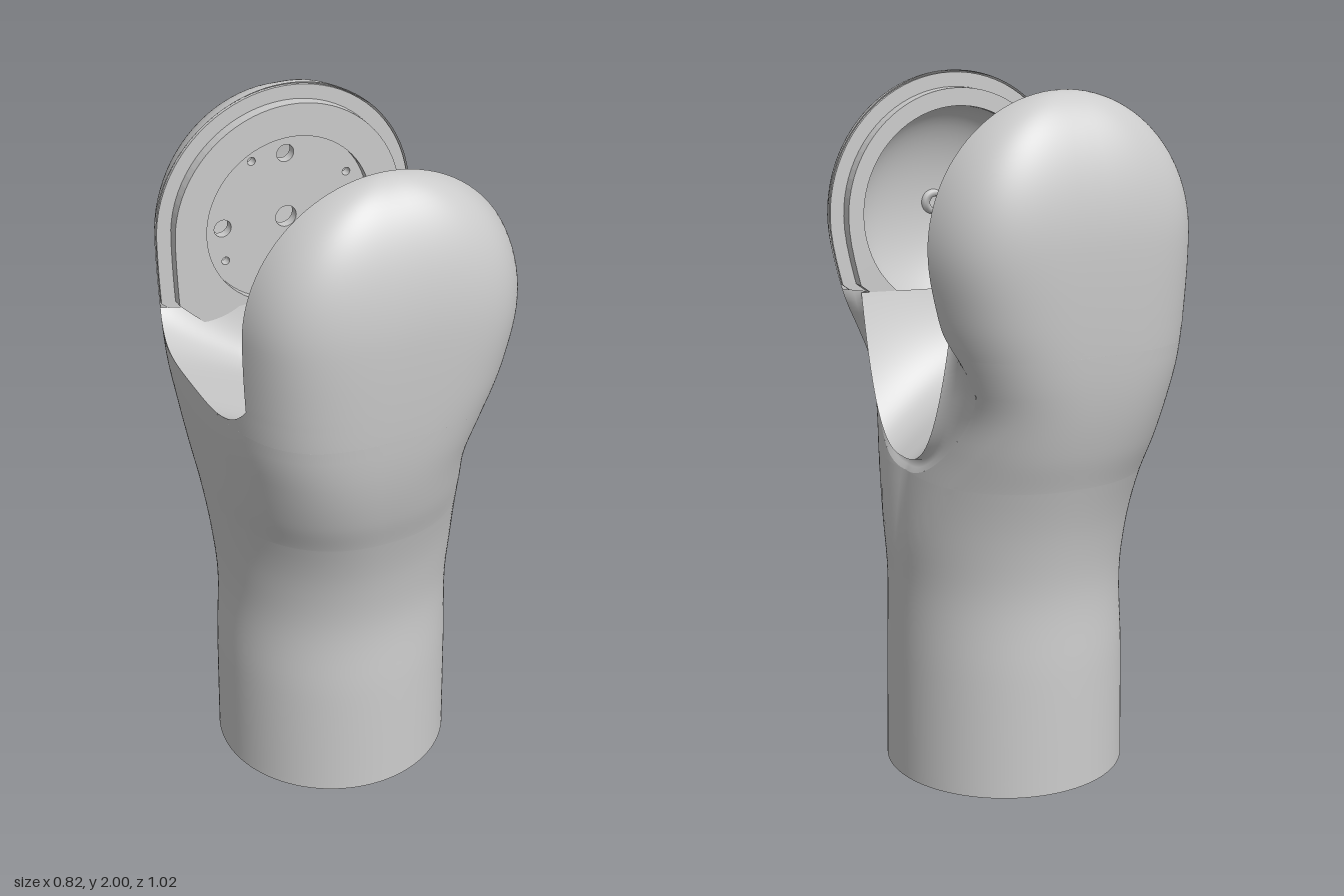
import * as THREE from 'three';
import { mergeGeometries, mergeVertices } from 'three/addons/utils/BufferGeometryUtils.js';

const mat = new THREE.MeshStandardMaterial({ color: 0xcccccc, side: THREE.DoubleSide });

// Cross-sections of the shell: y, -x limit, +x limit, half depth, roundness exponent
const SECTIONS = [
  [0, -0.34, 0.36, 0.352, 2], [0.35, -0.337, 0.356, 0.347, 2], [0.58, -0.33, 0.353, 0.34, 2],
  [0.75, -0.343, 0.36, 0.362, 2.05], [0.9, -0.361, 0.354, 0.4, 2.2], [1.02, -0.378, 0.34, 0.44, 2.45],
  [1.14, -0.393, 0.336, 0.47, 2.7], [1.26, -0.406, 0.362, 0.489, 3], [1.42, -0.41, 0.407, 0.502, 3.3],
  [1.6, -0.41, 0.432, 0.508, 3.5], [2, -0.41, 0.432, 0.508, 3.5],
];
const RIM = 0.315, FACE = 0.28, CY = 1.6, CX = 0.012;
const { smoothstep } = THREE.MathUtils;

// Smooth lookup of column k at height y
function look(y, k) {
  const S = SECTIONS, last = S.length - 1;
  let i = 0;
  while (i < last - 1 && y > S[i + 1][0]) i++;
  const slope = j => {
    const a = S[Math.max(j - 1, 0)], b = S[Math.min(j + 1, last)];
    return j >= last - 1 ? 0 : (b[k] - a[k]) / (b[0] - a[0]);
  };
  const h = S[i + 1][0] - S[i][0], t = (y - S[i][0]) / h, t2 = t * t, t3 = t2 * t;
  return S[i][k] * (2 * t3 - 3 * t2 + 1) + slope(i) * h * (t3 - 2 * t2 + t)
    + S[i + 1][k] * (3 * t2 - 2 * t3) + slope(i + 1) * h * (t3 - t2);
}

// Depth at which the shell is cut open on its +x and -x sides
function cutZ(y, side) {
  if (side < 0) return y <= 1.31 ? 0 : RIM * Math.min(1, (y - 1.31) / 0.08) ** 0.2;
  if (y <= 0.92) return 0;
  if (y < 1.2) return 0.345 * ((y - 0.92) / 0.28) ** (1 / 2.2);
  return 0.345 - (0.345 - RIM) * smoothstep(y, 1.26, 1.4);
}

// Point on the front half of the shell; t runs from the +x cut to the -x cut
function shellPoint(t, y) {
  const xl = look(y, 1), xr = look(y, 2), b = look(y, 3), n = look(y, 4);
  const ang = s => Math.asin(Math.min(1, (cutZ(y, s) / b) ** (n / 2)));
  const a0 = ang(1), a = a0 + (Math.PI - ang(-1) - a0) * t;
  const c = Math.cos(a), s = Math.max(0, Math.sin(a));
  let x = Math.sign(c) * Math.abs(c) ** (2 / n) * (xr - xl) / 2;
  let z = b * s ** (2 / n);
  if (y > CY) {
    const k = Math.sqrt(Math.max(0, 1 - ((y - CY) / 0.4) ** 2));
    x *= k;
    z = RIM + (z - RIM) * k;
  }
  // shallow V-shaped facet below the +x opening
  x -= 0.1 * Math.max(0, c) * Math.max(0, y - 0.65 - 1.15 * z) * (1 - smoothstep(y, 1.05, 1.35));
  return new THREE.Vector3((xl + xr) / 2 + x, y, z);
}
const edge = (y, side) => shellPoint(side > 0 ? 0 : 1, y);

// Side limit of the shell in the plane of the pad rims
function rimX(y, side) {
  const xl = look(y, 1), xr = look(y, 2), b = look(y, 3), n = look(y, 4);
  return (xl + xr) / 2 + side * (xr - xl) / 2 * (1 - (RIM / b) ** n) ** (1 / n);
}

// Surface from fn(i, j) on an nu by nv grid
function grid(fn, nu, nv, flip = false) {
  const pos = [], idx = [];
  for (let j = 0; j <= nv; j++) for (let i = 0; i <= nu; i++) pos.push(...fn(i, j).toArray());
  for (let j = 0; j < nv; j++) for (let i = 0; i < nu; i++) {
    const a = j * (nu + 1) + i, b = a + 1, c = a + nu + 1, d = c + 1;
    idx.push(...(flip ? [a, b, c, b, d, c] : [a, c, b, b, c, d]));
  }
  const g = new THREE.BufferGeometry();
  g.setAttribute('position', new THREE.Float32BufferAttribute(pos, 3));
  g.setIndex(idx);
  g.computeVertexNormals();
  return g;
}

function add(parent, name, geo, x = 0, y = 0, z = 0) {
  const m = new THREE.Mesh(geo, mat);
  m.name = name;
  m.position.set(x, y, z);
  parent.add(m);
  return m;
}

function circle(shape, x, y, r) {
  shape.holes.push(new THREE.Path().absarc(x, y, r, 0, Math.PI * 2, true));
}

// Outline of a pad's inner face, inset from the shell's rim and tapering at the foot
function padShape(inset, holeR) {
  const pts = [], r = rimX(CY, 1), l = rimX(CY, -1), c = (r + l) / 2;
  const foot = (i, side) => {
    const y = 1.28 + i * 0.04;
    return [rimX(y, side) - side * (inset + Math.max(0, 1.4 - y)), y];
  };
  for (let i = 0; i < 8; i++) pts.push(foot(i, 1));
  for (let i = 0; i <= 40; i++) {
    const a = Math.PI * i / 40;
    pts.push([c + ((r - l) / 2 - inset) * Math.cos(a), CY + (0.4 - inset) * Math.sin(a)]);
  }
  for (let i = 7; i >= 0; i--) pts.push(foot(i, -1));
  const s = new THREE.Shape(pts.map(p => new THREE.Vector2(...p)));
  circle(s, CX, CY, holeR);
  return s;
}

const extrude = (shape, depth) =>
  new THREE.ExtrudeGeometry(shape, { depth, bevelEnabled: false, curveSegments: 40 });
const lathe = pts => new THREE.LatheGeometry(pts.map(p => new THREE.Vector2(...p)), 64);

export function createModel() {
  const model = new THREE.Group();
  model.name = 'forkedArmLink';

  // Outer shell: rows crowd together where the side openings begin
  const ys = [];
  for (let i = 0; i < 24; i++) ys.push(0.92 * i / 24);
  for (let i = 0; i < 20; i++) ys.push(0.92 + 0.39 * (i / 20) ** 2);
  for (let i = 0; i < 14; i++) ys.push(1.31 + 0.08 * (i / 14) ** 4);
  for (let i = 0; i < 8; i++) ys.push(1.39 + 0.21 * i / 8);
  for (let i = 0; i <= 24; i++) ys.push(CY + 0.4 * Math.sin(Math.PI / 2 * i / 24));
  const halves = [1, -1].map(s => grid((i, j) => {
    const p = shellPoint(i / 72, ys[j]);
    p.z *= s;
    return p;
  }, 72, ys.length - 1, s < 0));
  halves.forEach(g => g.deleteAttribute('normal'));
  const shell = mergeVertices(mergeGeometries(halves), 1e-5);
  shell.computeVertexNormals();
  add(model, 'outerShell', shell);

  // Trough between the pads, bulging as it falls from the -x rim to the +x opening
  const innerEdge = s => new THREE.Vector3(0.335 - 0.01 * s * s, 0.96 + 0.42 * Math.abs(s) ** 2.8, FACE * s);
  const outerEdge = s => {
    const p = edge(0.92 + 0.47 * Math.abs(s) ** 2.6, 1);
    p.z *= Math.sign(s);
    return p;
  };
  const NS = 80, span = j => Math.sin(Math.PI * (j / NS - 0.5));
  add(model, 'troughFloor', grid((i, j) => {
    const s = span(j), y = 1.31 + 0.08 * Math.abs(s) ** 5;
    const left = new THREE.Vector3(edge(y, -1).x, y, RIM * s);
    const mid = new THREE.Vector3(-0.15, 1.19 + 0.17 * Math.abs(s) ** 8, FACE * s);
    if (i < 8) return left.lerp(mid, i / 8);
    const t = (i - 8) / 16, p = mid.lerp(innerEdge(s), t);
    p.y += 0.04 * Math.sin(Math.PI * t) * (1 - s * s);
    return p;
  }, 24, NS));

  // Grooved border between the trough's lip and the shell on the +x side
  add(model, 'openingRim', grid((i, j) => {
    const s = span(j), p = innerEdge(s).lerp(outerEdge(s), [0, 0.1, 0.6, 1][i]);
    if (i === 1) p.x -= 0.03;
    if (i === 2) p.x -= 0.012;
    return p;
  }, 3, NS));

  // Inner faces of the two pads: a flat rim and a raised lip
  for (const [name, s, r] of [['front', 1, 0.3], ['back', -1, 0.255]]) {
    const rim = extrude(padShape(0.006, r), 0.01);
    const lip = extrude(padShape(0.048, r), 0.04);
    add(model, name + 'PadRim', rim, 0, 0, s > 0 ? RIM : -RIM - 0.01);
    add(model, name + 'PadLip', lip, 0, 0, s > 0 ? FACE : -FACE - 0.04);
  }

  // Front pad: hollow dish with a small boss
  const arc = [];
  for (let i = 0; i <= 16; i++) {
    const a = Math.PI / 2 * i / 16;
    arc.push([0.3 * Math.cos(a), 0.3 + 0.14 * Math.sin(a)]);
  }
  add(model, 'frontDish', lathe(arc), CX, CY, 0).rotation.x = Math.PI / 2;
  const boss = lathe([[0.018, 0.445], [0.018, 0.42], [0.034, 0.42], [0.038, 0.445]]);
  add(model, 'dishBoss', boss, CX, CY, 0).rotation.x = Math.PI / 2;

  // Back pad: mounting disc with bolt holes
  const disc = new THREE.Shape().absarc(0, 0, 0.257, 0, Math.PI * 2);
  circle(disc, 0, 0, 0.032);
  for (let i = 0; i < 4; i++) {
    const a = Math.PI / 2 * i;
    circle(disc, 0.195 * Math.cos(a), 0.195 * Math.sin(a), 0.026);
    circle(disc, 0.215 * Math.cos(a + 0.5), 0.215 * Math.sin(a + 0.5), 0.012);
  }
  add(model, 'mountingDisc', extrude(disc, 0.03), CX, CY, -0.34);

  // Socket at the foot: inner wall, bolt flange and two small ports
  add(model, 'socketWall', lathe([[0.35, 0], [0.335, 0], [0.33, 0.3]]), 0.01, 0, 0);
  const flange = new THREE.Shape().absarc(0, 0, 0.332, 0, Math.PI * 2);
  circle(flange, 0, 0, 0.25);
  for (let i = 0; i < 8; i++) {
    const a = Math.PI / 4 * (i + 0.5);
    circle(flange, 0.3 * Math.cos(a), 0.3 * Math.sin(a), 0.013);
  }
  add(model, 'socketFlange', extrude(flange, 0.03), 0.01, 0.28, 0).rotation.x = Math.PI / 2;
  for (const [y, h] of [[0.07, 0.06], [0.17, 0.09]]) {
    const frame = new THREE.Shape([[-0.04, -h / 2], [0.04, -h / 2], [0.04, h / 2], [-0.04, h / 2]]
      .map(p => new THREE.Vector2(...p)));
    circle(frame, 0, 0, 0.018);
    add(model, 'socketPort', extrude(frame, 0.012), -0.324, y, 0).rotation.y = Math.PI / 2;
  }
  return model;
}
